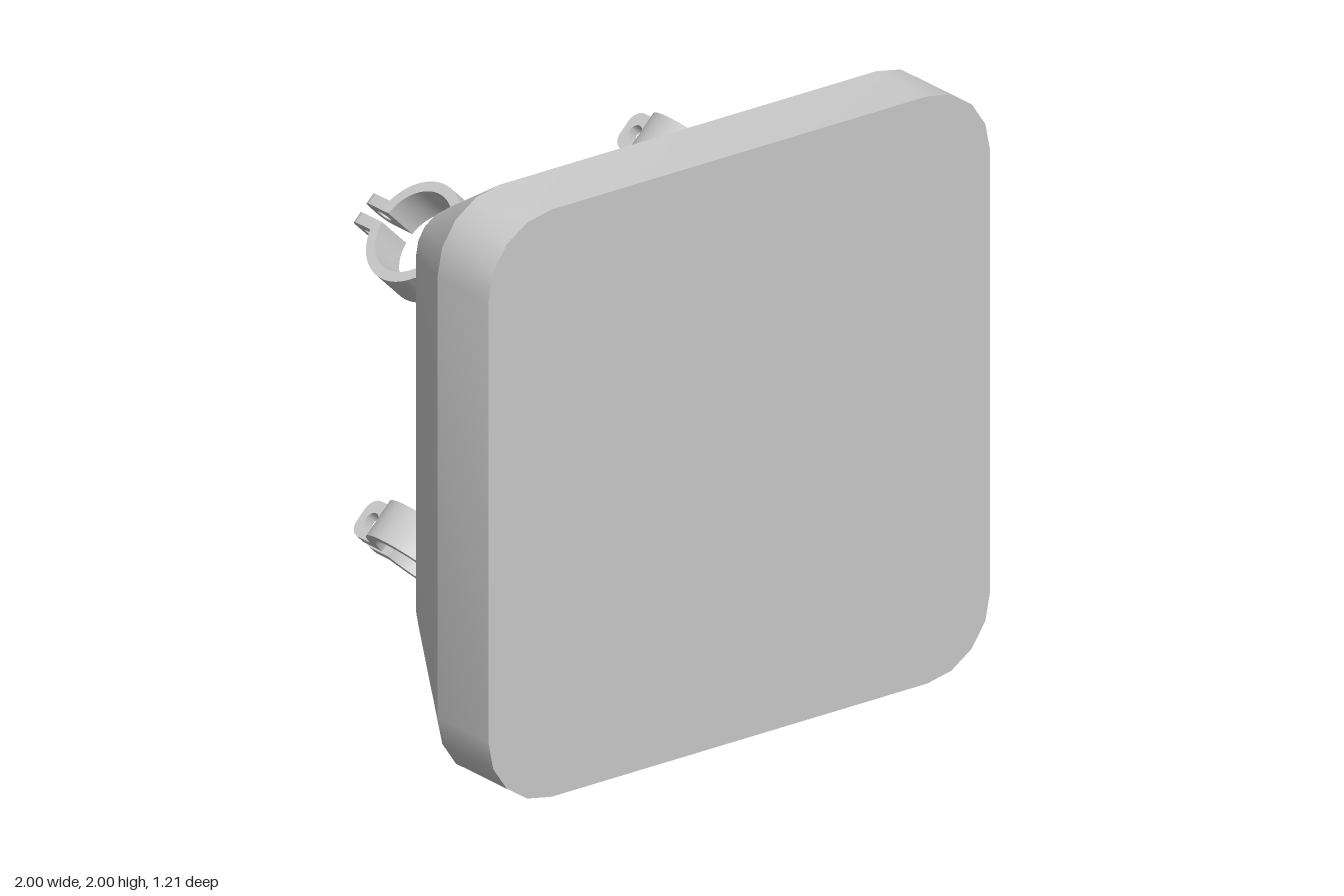
import * as THREE from 'three';
import { toCreasedNormals } from 'three/addons/utils/BufferGeometryUtils.js';

const BACK = -0.13; // z of the back plate

// Points of a rounded square, counter-clockwise seen from the front
function roundedSquare(half, z, r, steps = 4) {
  const pts = [];
  for (let q = 0; q < 4; q++) {
    const mid = (q + 0.5) * Math.PI / 2;
    const c = (half - r) * Math.SQRT2;
    for (let i = 0; i <= steps; i++) {
      const a = (q + i / steps) * Math.PI / 2;
      pts.push([c * Math.cos(mid) + r * Math.cos(a), c * Math.sin(mid) + r * Math.sin(a), z]);
    }
  }
  return pts;
}

// Skins a stack of equal-length loops and closes both ends
function skin(loops) {
  const n = loops[0].length, pos = loops.flat(2), idx = [];
  for (let i = 0; i < loops.length - 1; i++) {
    for (let j = 0; j < n; j++) {
      const k = (j + 1) % n;
      const a = i * n + j, b = i * n + k, c = a + n, d = b + n;
      idx.push(a, c, b, b, c, d);
    }
  }
  const last = (loops.length - 1) * n, front = loops.length * n, back = front + 1;
  pos.push(0, 0, loops[0][0][2], 0, 0, loops[loops.length - 1][0][2]);
  for (let j = 0; j < n; j++) {
    const k = (j + 1) % n;
    idx.push(front, j, k, back, last + k, last + j);
  }
  const g = new THREE.BufferGeometry();
  g.setAttribute('position', new THREE.Float32BufferAttribute(pos, 3));
  g.setIndex(idx);
  return toCreasedNormals(g, 0.45);
}

// Straight rim, tapered sides and a small fillet into the back plate
function housingGeometry() {
  const profile = [[1, 0.605, 0.25], [1, 0.345, 0.25]];
  const fillet = new THREE.QuadraticBezierCurve(
    new THREE.Vector2(0.74, -0.096), new THREE.Vector2(0.72, BACK), new THREE.Vector2(0.68, BACK));
  profile.push([0.748, -0.083, 0.135]);
  for (const p of fillet.getPoints(5)) profile.push([p.x, p.y, 0.13 - (0.74 - p.x) * 0.7]);
  profile.push([0.67, BACK, 0.08]);
  return skin(profile.map(([half, z, r]) => roundedSquare(half, z, r)));
}

const WIDTH = 0.135, CENTRE = 0.195, OUTER = 0.18, INNER = 0.145, GAP = 0.017;

// Split ring standing on a flat foot
function ringGeometry() {
  const foot = 0.118, up = Math.PI / 2;
  const hit = Math.asin(foot / OUTER);
  const s = new THREE.Shape();
  const cut = Math.asin(GAP / OUTER), cutIn = Math.asin(GAP / INNER);
  s.absarc(0, CENTRE, OUTER, up + cut, 3 * up - hit - 0.12, false);
  s.lineTo(-foot - 0.006, 0.05);
  s.lineTo(-foot - 0.006, -0.01);
  s.lineTo(foot + 0.006, -0.01);
  s.lineTo(foot + 0.006, 0.05);
  s.absarc(0, CENTRE, OUTER, -up + hit + 0.12, up - cut, false);
  s.absarc(0, CENTRE, INNER, up - cutIn, up + cutIn - 2 * Math.PI, true);
  s.closePath();
  const g = new THREE.ExtrudeGeometry(s, { depth: WIDTH, bevelEnabled: false, curveSegments: 28 });
  g.translate(0, 0, -WIDTH / 2);
  return toCreasedNormals(g, 0.5);
}

// Bolt ear with rounded corners and a bolt hole, facing along x
function earGeometry() {
  const w = WIDTH / 2, top = 0.475, r = 0.045, thick = 0.038;
  const s = new THREE.Shape();
  s.moveTo(-w, 0.345);
  s.lineTo(w, 0.345);
  s.absarc(w - r, top - r, r, 0, Math.PI / 2, false);
  s.absarc(-w + r, top - r, r, Math.PI / 2, Math.PI, false);
  s.closePath();
  const hole = new THREE.Path();
  hole.absarc(0, 0.42, 0.026, 0, Math.PI * 2, true);
  s.holes.push(hole);
  const g = new THREE.ExtrudeGeometry(s, { depth: thick, bevelEnabled: false, curveSegments: 10 });
  g.translate(0, 0, -thick / 2);
  g.rotateY(Math.PI / 2);
  return { geometry: toCreasedNormals(g, 0.6), offset: GAP + thick / 2 };
}

export function createModel() {
  const model = new THREE.Group();
  model.name = 'panelWithPipeClamps';
  const material = new THREE.MeshStandardMaterial({ color: 0xcccccc });
  const add = (parent, geometry, name) => {
    const mesh = new THREE.Mesh(geometry, material);
    mesh.name = name;
    parent.add(mesh);
    return mesh;
  };

  add(model, housingGeometry(), 'housing').position.y = 1;

  // Four clamps on the back, each bore pointing along its diagonal
  const ring = ringGeometry(), ear = earGeometry();
  for (const sx of [-1, 1]) {
    for (const sy of [-1, 1]) {
      const clamp = new THREE.Group();
      clamp.name = (sy > 0 ? 'upper' : 'lower') + (sx > 0 ? 'Left' : 'Right') + 'Clamp';
      const axis = new THREE.Vector3(sx, sy, 0).normalize();
      const out = new THREE.Vector3(0, 0, -1);
      const side = new THREE.Vector3().crossVectors(out, axis);
      clamp.quaternion.setFromRotationMatrix(new THREE.Matrix4().makeBasis(side, out, axis));
      clamp.position.set(sx * 0.525, 1 + sy * 0.525, BACK);
      add(clamp, ring, 'clampRing');
      for (const s of [-1, 1]) add(clamp, ear.geometry, 'boltEar').position.x = s * ear.offset;
      model.add(clamp);
    }
  }
  return model;
}
